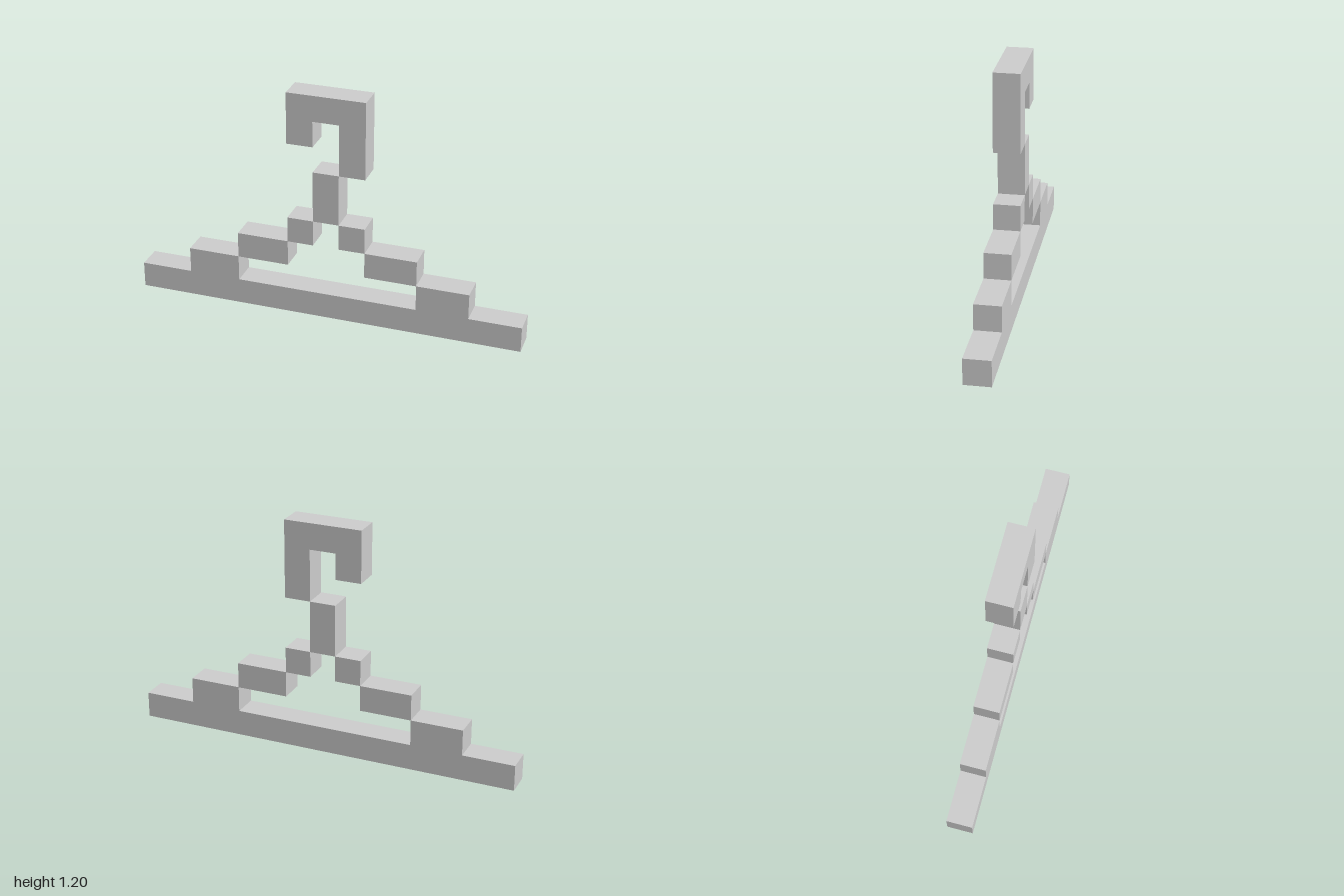
import * as THREE from 'three';

// One grid cell: the model is 15 cells wide, 9 tall and 1 deep.
const U = 2 / 15;

export function createModel() {
  const model = new THREE.Group();
  model.name = 'coatHanger';
  const material = new THREE.MeshStandardMaterial({ color: 0xcccccc, flatShading: true });

  // Extrudes an outline given in grid cells to one cell of depth.
  const addSlab = (name, outline) => {
    const shape = new THREE.Shape(outline.map(([x, y]) => new THREE.Vector2(x * U, y * U)));
    const geometry = new THREE.ExtrudeGeometry(shape, { depth: U, bevelEnabled: false });
    geometry.translate(0, 0, -U / 2);
    const mesh = new THREE.Mesh(geometry, material);
    mesh.name = name;
    model.add(mesh);
  };

  // Adds a block centred on x (in cells), standing on y.
  const addBlock = (name, x, y, width, height) => {
    const mesh = new THREE.Mesh(new THREE.BoxGeometry(width * U, height * U, U), material);
    mesh.name = name;
    mesh.position.set(x * U, (y + height / 2) * U, 0);
    model.add(mesh);
  };

  // Bottom bar with the lowest step of each shoulder
  addSlab('bottomBar', [
    [-7.5, 0], [7.5, 0], [7.5, 1], [5.5, 1], [5.5, 2], [3.5, 2], [3.5, 1],
    [-3.5, 1], [-3.5, 2], [-5.5, 2], [-5.5, 1], [-7.5, 1],
  ]);

  // Stepped shoulders, mirrored
  for (const [side, s] of [['left', 1], ['right', -1]]) {
    addBlock(`${side}ShoulderStep`, s * 2.5, 2, 2, 1);
    addBlock(`${side}CollarStep`, s, 3, 1, 1);
  }

  // Neck
  addBlock('neck', 0, 4, 1, 2);

  // Hook, open at the lower right
  addSlab('hook', [
    [0.5, 6], [1.5, 6], [1.5, 9], [-1.5, 9], [-1.5, 7], [-0.5, 7], [-0.5, 8], [0.5, 8],
  ]);

  return model;
}
